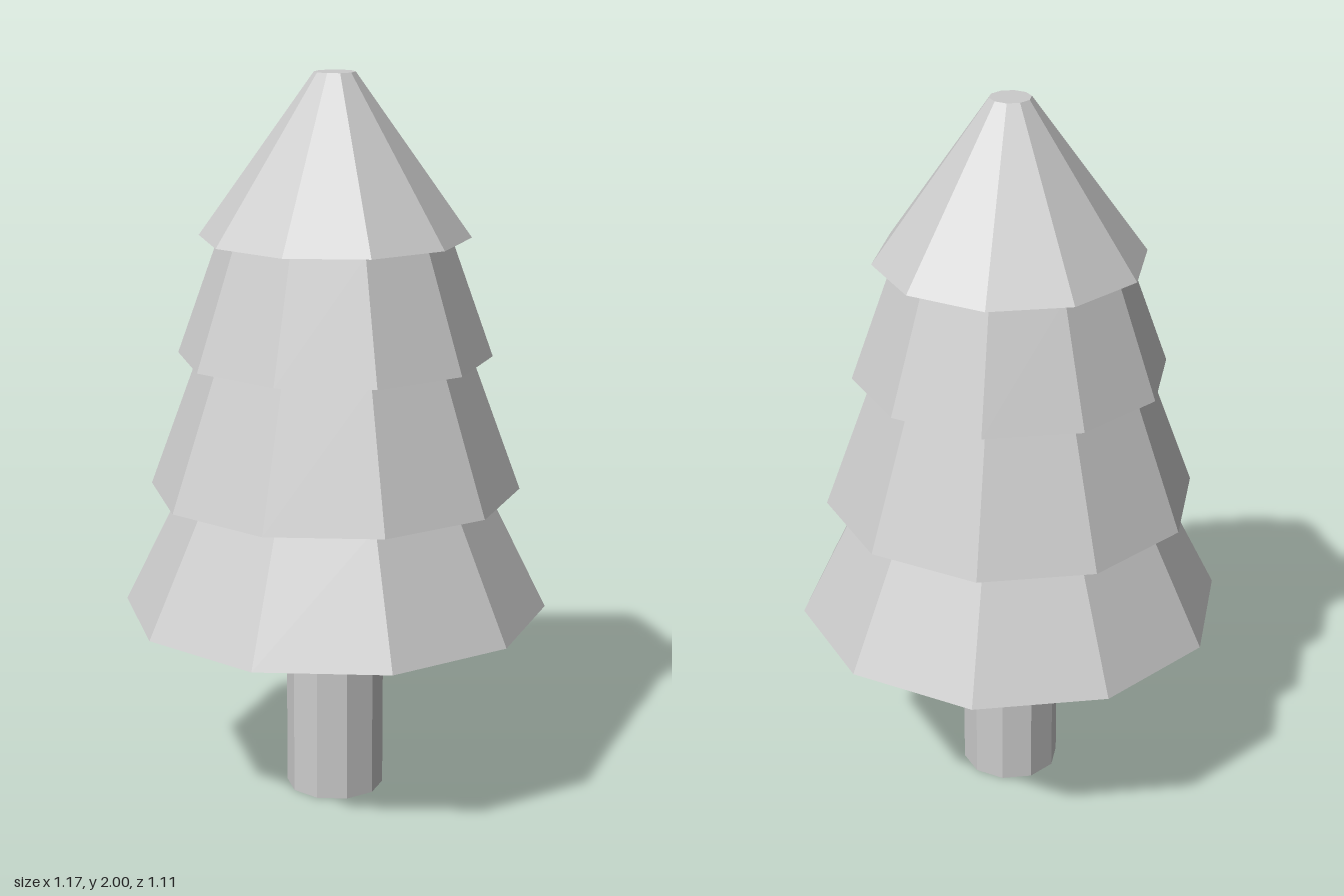
import * as THREE from 'three';

const SIDES = 10;

export function createModel() {
  const group = new THREE.Group();
  const material = new THREE.MeshStandardMaterial({ color: 0xcccccc, flatShading: true });

  // Ten-sided frustum between two heights, with a corner pointing along +x
  function frustum(name, y0, y1, rBottom, rTop) {
    const geometry = new THREE.CylinderGeometry(rTop, rBottom, y1 - y0, SIDES, 1, false, Math.PI / 2);
    const mesh = new THREE.Mesh(geometry, material);
    mesh.name = name;
    mesh.position.y = (y0 + y1) / 2;
    group.add(mesh);
  }

  // Trunk
  frustum('trunk', 0, 0.535, 0.135, 0.135);

  // Foliage tiers, bottom to top: y0, y1, bottom radius, top radius
  const tiers = [
    [0.535, 0.873, 0.583, 0.416],
    [0.873, 1.243, 0.506, 0.37],
    [1.243, 1.565, 0.426, 0.311],
    [1.565, 2, 0.365, 0.055],
  ];
  tiers.forEach((tier, i) => frustum(`foliageTier${i + 1}`, ...tier));

  return group;
}
